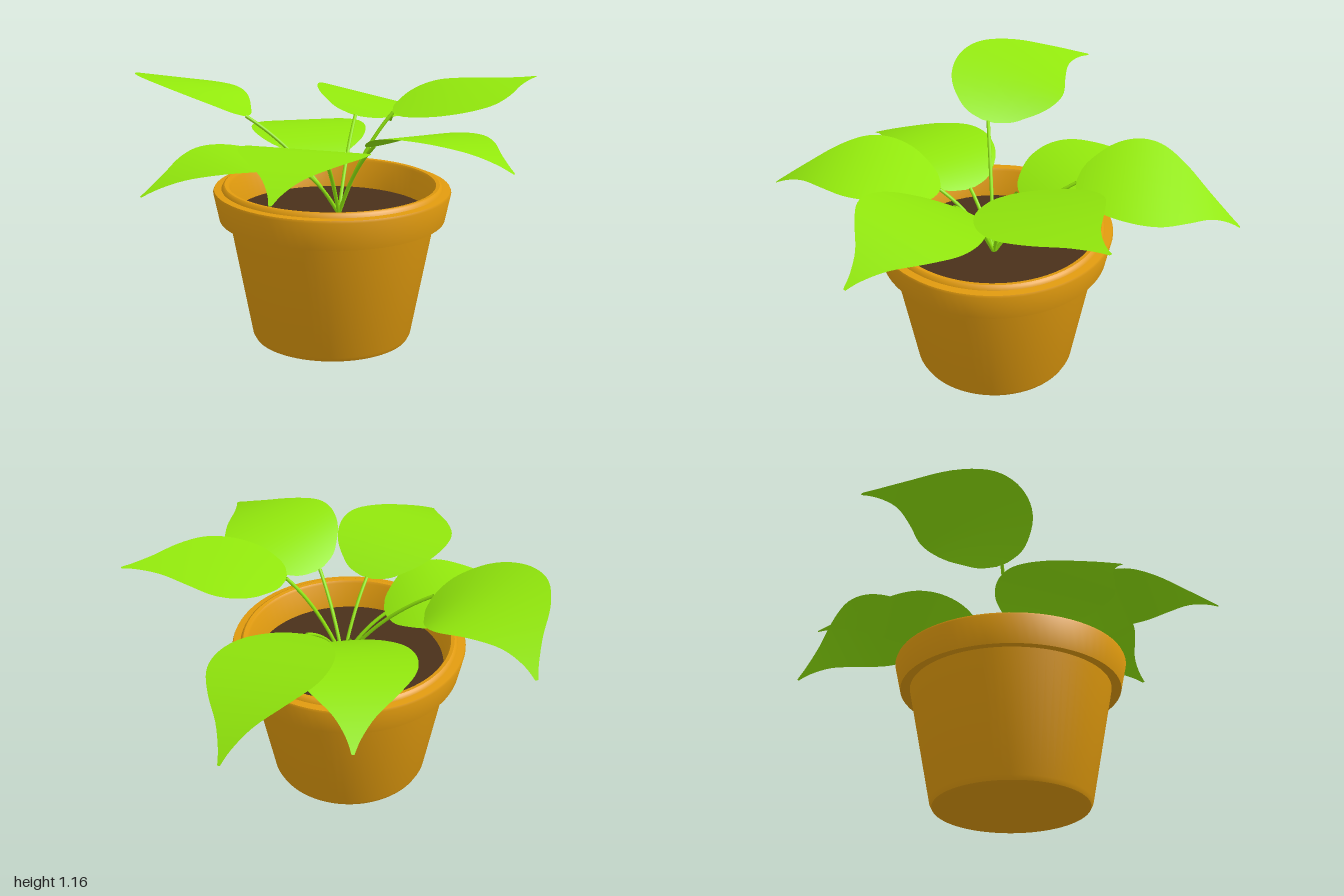
import * as THREE from 'three';
import { toCreasedNormals } from 'three/addons/utils/BufferGeometryUtils.js';

const V2 = (x, y) => new THREE.Vector2(x, y);
const V3 = (a) => new THREE.Vector3(...a);

const clay = new THREE.MeshStandardMaterial({ color: 0xe09a0e });
const earth = new THREE.MeshStandardMaterial({ color: 0x4a301a });
const green = new THREE.MeshStandardMaterial({ color: 0x92e80c, side: THREE.DoubleSide });

// Leaf outline: x = position along the leaf, y = half width
const outline = new THREE.SplineCurve([
  V2(0, 0.025), V2(0.025, 0.09), V2(0.07, 0.14), V2(0.17, 0.21), V2(0.28, 0.25), V2(0.4, 0.264),
  V2(0.52, 0.245), V2(0.66, 0.175), V2(0.8, 0.085), V2(0.92, 0.03), V2(1, 0.006),
]);

// Each leaf: base, middle and tip of its midrib, and sideways slope (roll)
const leaves = [
  { name: 'frontLeaf', base: [0.1, 0.87, 0.28], mid: [0.1, 0.97, 0.64], tip: [0.1, 0.86, 0.995], roll: 0 },
  { name: 'backLeaf', base: [0.08, 0.93, -0.3], mid: [0.09, 0.95, -0.66], tip: [0.08, 0.755, -1], roll: 0.19 },
  { name: 'leftBackLeaf', base: [0.31, 1.005, -0.07], mid: [0.6, 1.08, -0.23], tip: [0.87, 1.12, -0.47], roll: 0.05 },
  { name: 'leftFrontLeaf', base: [0.29, 0.91, 0.19], mid: [0.61, 1.0, 0.325], tip: [0.92, 0.92, 0.515], roll: -0.12 },
  { name: 'rightFrontLeaf', base: [-0.05, 0.79, 0.17], mid: [-0.3, 0.865, 0.4], tip: [-0.55, 0.76, 0.69], roll: 0 },
  { name: 'rightLeaf', base: [-0.3, 0.99, 0.12], mid: [-0.62, 1.11, 0.005], tip: [-0.92, 1.04, -0.29], roll: 0.2 },
  { name: 'rightBackLeaf', base: [0, 0.78, -0.07], mid: [-0.18, 0.865, -0.37], tip: [-0.35, 0.76, -0.71], roll: 0 },
];

// A flat sheet bent along its midrib and trimmed to the leaf outline
function leafGeometry({ base, mid, tip, roll }) {
  const a = V3(base), c = V3(tip);
  const control = V3(mid).multiplyScalar(2).sub(a.clone().add(c).multiplyScalar(0.5));
  const rib = new THREE.QuadraticBezierCurve3(a, control, c);
  const geometry = new THREE.PlaneGeometry(1, 1, 6, 40);
  const pos = geometry.attributes.position;
  for (let i = 0; i < pos.count; i++) {
    const o = outline.getPoint(pos.getY(i) + 0.5);
    const t = THREE.MathUtils.clamp(o.x, 0, 1);
    const along = rib.getTangent(t).setY(0).normalize();
    const side = new THREE.Vector3(along.z, roll, -along.x);
    const p = rib.getPoint(t).addScaledVector(side, -2 * pos.getX(i) * o.y);
    pos.setXYZ(i, p.x, p.y, p.z);
  }
  geometry.computeVertexNormals();
  return geometry;
}

// A thin stalk rising steeply from the soil and leaning out to the leaf
function stemGeometry({ base }) {
  const start = new THREE.Vector3(0.1, 0.56, 0.05), end = V3(base);
  const control = start.clone().lerp(end, 0.4);
  control.y = THREE.MathUtils.lerp(start.y, end.y, 0.65);
  const path = new THREE.QuadraticBezierCurve3(start, control, end);
  return new THREE.TubeGeometry(path, 20, 0.008, 8);
}

export function createModel() {
  const model = new THREE.Group();
  model.name = 'pottedPlant';
  const add = (name, geometry, material, parent = model) => {
    const mesh = new THREE.Mesh(geometry, material);
    mesh.name = name;
    parent.add(mesh);
    return mesh;
  };

  // Tapered pot with a collar rim and an open inside
  const profile = [
    V2(0, 0), V2(0.325, 0), V2(0.343, 0.006), V2(0.353, 0.025), V2(0.45, 0.555), V2(0.493, 0.55),
    V2(0.518, 0.672), V2(0.514, 0.682), V2(0.482, 0.684), V2(0.476, 0.697), V2(0.468, 0.702),
    V2(0.452, 0.7), V2(0.445, 0.69), V2(0.42, 0.55),
  ];
  const pot = new THREE.LatheGeometry(profile, 72);
  add('pot', toCreasedNormals(pot, 0.6), clay).position.set(0.07, 0, 0.052);

  // Soil surface
  const soil = add('soil', new THREE.CircleGeometry(0.425, 72).rotateX(-Math.PI / 2), earth);
  soil.position.set(0.07, 0.57, 0.052);

  // Leaves on their stalks
  for (const leaf of leaves) {
    const group = new THREE.Group();
    group.name = leaf.name;
    add('blade', leafGeometry(leaf), green, group);
    add('stem', stemGeometry(leaf), green, group);
    model.add(group);
  }
  return model;
}
